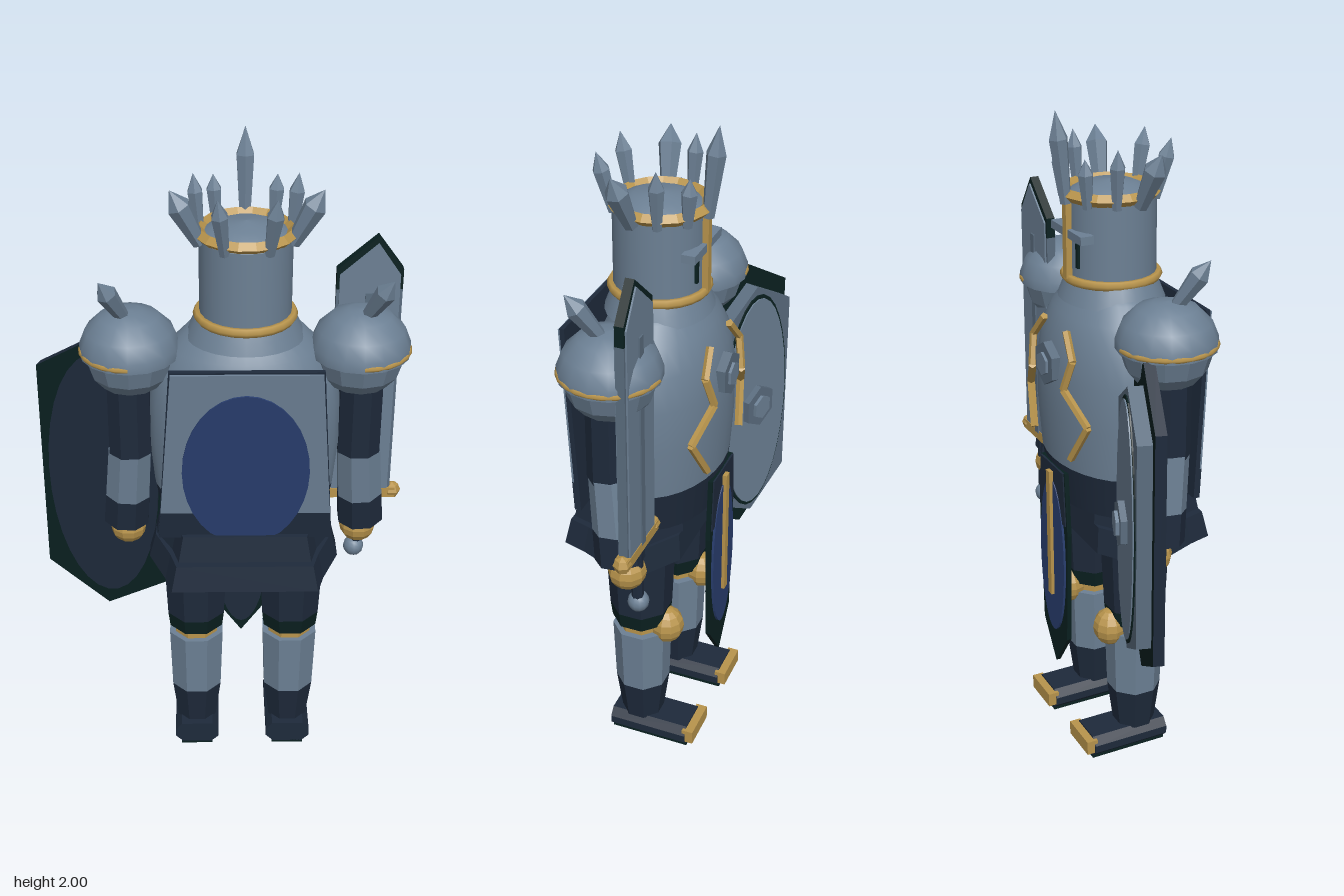
import * as THREE from 'three';

const mat = (name, color, side = THREE.FrontSide) => {
  const m = new THREE.MeshStandardMaterial({ color, side });
  m.name = name;
  return m;
};
const CX = 0.066; // the figure's own centre line

export function createModel() {
  const root = new THREE.Group();
  root.name = 'armouredKnight';
  const body = new THREE.Group();
  body.name = 'body';
  body.position.x = CX;
  root.add(body);

  const steel = mat('steel', 0x6c8094, THREE.DoubleSide);
  const midSteel = mat('midSteel', 0x5a6c7e);
  const navy = mat('navy', 0x1e2a3b, THREE.DoubleSide);
  const dark = mat('darkGreen', 0x0a2020);
  const blue = mat('blue', 0x293e6f);
  const gold = mat('gold', 0xb8944c);

  const add = (parent, name, geo, m, x = 0, y = 0, z = 0) => {
    const mesh = new THREE.Mesh(geo, m);
    mesh.name = name;
    mesh.position.set(x, y, z);
    parent.add(mesh);
    return mesh;
  };
  const faceted = (g) => {
    const f = g.index ? g.toNonIndexed() : g;
    f.computeVertexNormals();
    return f;
  };
  const box = (w, h, d) => new THREE.BoxGeometry(w, h, d);
  const lathe = (pts, n = 24) => new THREE.LatheGeometry(pts.map(([r, y]) => new THREE.Vector2(r, y)), n);
  const limb = (rTop, rBot, h, n = 8) => faceted(new THREE.CylinderGeometry(rTop, rBot, h, n).rotateY(Math.PI / n));
  const hexBoss = (r, d) => faceted(new THREE.CylinderGeometry(r, r, d, 6).rotateX(Math.PI / 2));
  // flat plate cut from an outline, centred on its thickness
  const plate = (pts, depth) => new THREE.ExtrudeGeometry(
    new THREE.Shape(pts.map(([x, y]) => new THREE.Vector2(x, y))), { depth, bevelEnabled: false }).translate(0, 0, -depth / 2);
  const ellipse = (rx, ry, depth, yMin = -9) => {
    const pts = [];
    for (let i = 0; i < 32; i++) {
      const a = i / 32 * Math.PI * 2;
      pts.push([Math.cos(a) * rx, Math.max(yMin, Math.sin(a) * ry)]);
    }
    return plate(pts, depth);
  };
  const UP = new THREE.Vector3(0, 1, 0);
  const aim = (mesh, a, b) => {
    const d = new THREE.Vector3().subVectors(b, a);
    mesh.position.copy(a);
    mesh.quaternion.setFromUnitVectors(UP, d.normalize());
  };
  const spike = (parent, name, a, b, r) => {
    const L = a.distanceTo(b);
    aim(add(parent, name, faceted(lathe([[0, 0], [r * 0.6, 0], [r, L * 0.7], [0, L]], 6)), steel), a, b);
  };
  const rod = (parent, name, a, b, r, m) => {
    const L = a.distanceTo(b);
    aim(add(parent, name, faceted(new THREE.CylinderGeometry(r, r, L, 5).translate(0, L / 2, 0)), m), a, b);
  };
  const V = (x, y, z) => new THREE.Vector3(x, y, z);

  // breastplate, darker towards the waist
  const prof = [[0.86, 0.84], [0.95, 0.97], [1, 1.12], [0.99, 1.25], [0.92, 1.35], [0.77, 1.42], [0.6, 1.47], [0.48, 1.5], [0, 1.51]];
  const torsoUpper = add(body, 'breastplate', lathe(prof.slice(1), 32), steel, 0, 0, -0.01);
  const torsoLower = add(body, 'waist', lathe(prof.slice(0, 2), 32), navy, 0, 0, -0.01);
  for (const t of [torsoUpper, torsoLower]) t.scale.set(0.28, 1, 0.195);
  const radiusAt = (y) => {
    const i = Math.max(1, prof.findIndex((p) => p[1] >= y));
    const [a, b] = [prof[i - 1], prof[i]];
    return a[0] + (b[0] - a[0]) * (y - a[1]) / (b[1] - a[1]);
  };
  const chestZ = (x, y) => {
    const r = radiusAt(y);
    return -0.018 - 0.195 * r * Math.sqrt(1 - (x / (0.28 * r)) ** 2) - Math.abs(x) * 0.1;
  };

  // chest ornaments: hexagonal boss and jagged gold inlays
  add(body, 'chestBoss', hexBoss(0.066, 0.03), midSteel, 0, 1.275, -0.203);
  add(body, 'chestBossCore', hexBoss(0.036, 0.03), steel, 0, 1.275, -0.211);
  const crack = [[0.075, 1.39], [0.135, 1.32], [0.11, 1.23], [0.2, 1.14], [0.13, 1.02]];
  for (const s of [-1, 1])
    for (let i = 0; i < 4; i++) {
      const p = [crack[i], crack[i + 1]].map(([x, y]) => V(s * x, y, chestZ(x, y)));
      rod(body, 'goldInlay', p[0], p[1], 0.012, gold);
    }

  // two tiers of hip armour with chamfered corners
  const hip = (y, h, w, z0, z1) => {
    const half = [[w - 0.07, z1], [w - 0.05, z1 - 0.07], [w, 0.03], [w, z0 + 0.08], [w - 0.12, z0]];
    const pts = [...half, ...half.map(([x, z]) => [-x, z]).reverse()];
    const g = plate(pts, h).rotateX(Math.PI / 2).translate(0, y, 0);
    const p = g.attributes.position;
    for (let i = 0; i < p.count; i++) if (p.getY(i) > y) p.setXYZ(i, p.getX(i) * 0.93, p.getY(i), p.getZ(i) * 0.93);
    return faceted(g);
  };
  add(body, 'upperHipArmour', hip(0.84, 0.08, 0.265, -0.13, 0.195), navy);
  add(body, 'hipGap', hip(0.795, 0.02, 0.25, -0.12, 0.18), dark);
  add(body, 'lowerHipArmour', hip(0.75, 0.08, 0.287, -0.13, 0.22), navy);

  // flat plate behind, leaning outwards at the top
  const cape = new THREE.Group();
  cape.name = 'rearPlate';
  cape.position.set(0, 0.87, 0.158);
  cape.rotation.x = 0.089;
  body.add(cape);
  add(cape, 'rearPlateTop', plate([[-0.246, 0.09], [0.246, 0.09], [0.21, 0.565], [-0.21, 0.565]], 0.016), steel);
  add(cape, 'rearPlateBase', plate([[-0.252, 0], [0.252, 0], [0.246, 0.09], [-0.246, 0.09]], 0.016), navy);
  add(cape, 'rearPlateRim', plate([[-0.254, 0], [0.254, 0], [0.214, 0.57], [-0.214, 0.57]], 0.014), navy, 0, 0, -0.006);
  add(cape, 'rearBlueOval', ellipse(0.182, 0.262, 0.006, -0.235), blue, 0, 0.238, 0.01);

  // hanging tabard between the legs
  const tab = new THREE.Group();
  tab.name = 'tabard';
  tab.position.z = -0.19;
  body.add(tab);
  add(tab, 'tabardCloth', plate([[-0.085, 0.95], [-0.1, 0.75], [-0.085, 0.38], [0, 0.26], [0.085, 0.38], [0.1, 0.75], [0.085, 0.95]], 0.014), dark);
  add(tab, 'tabardBacking', ellipse(0.085, 0.3, 0.006), navy, 0, 0.6, 0.008);
  add(tab, 'tabardTop', plate([[-0.08, 0.95], [-0.092, 0.78], [0.092, 0.78], [0.08, 0.95]], 0.006), navy, 0, 0, -0.008);
  add(tab, 'tabardOval', ellipse(0.085, 0.26, 0.008), blue, 0, 0.64, -0.01);
  add(tab, 'tabardSpine', box(0.024, 0.42, 0.02), gold, 0, 0.72, -0.014);

  // head
  add(body, 'collar', lathe([[0.17, 1.455], [0.155, 1.49], [0.14, 1.52]]), steel).scale.z = 0.9;
  add(body, 'neckRing', new THREE.TorusGeometry(0.134, 0.014, 6, 24).rotateX(Math.PI / 2), gold, 0, 1.52, 0);
  add(body, 'helmet', new THREE.CylinderGeometry(0.13, 0.13, 0.24, 24), steel, 0, 1.63, 0);
  add(body, 'helmetDome', lathe([[0.13, 1.75], [0.115, 1.765], [0.07, 1.785], [0, 1.795]]), steel);
  add(body, 'noseStrip', box(0.024, 0.22, 0.02), gold, 0, 1.63, -0.136);
  add(body, 'browBar', box(0.2, 0.024, 0.04), steel, 0, 1.655, -0.122);
  for (const s of [-1, 1])
    add(body, 'breathSlot', box(0.014, 0.07, 0.012), dark, s * 0.04, 1.595, -0.122);

  // crown with nine outward-leaning points
  add(body, 'crownRing', faceted(new THREE.TorusGeometry(0.128, 0.018, 4, 18).rotateX(Math.PI / 2)), gold, 0, 1.762, -0.005);
  const points = [[0, 0.16, 2, 0.028], [38, 0.145, 1.88, 0.023], [74, 0.15, 1.91, 0.023], [106, 0.215, 1.9, 0.034], [153, 0.175, 1.91, 0.025]];
  for (const [deg, tip, top, r] of points)
    for (const s of deg ? [-1, 1] : [1]) {
      const a = s * deg * Math.PI / 180;
      const at = (d, y) => V(Math.sin(a) * d, y, -Math.cos(a) * d - 0.008);
      spike(body, 'crownPoint', at(0.132, 1.74), at(tip, top), r);
    }

  for (const s of [-1, 1]) {
    // leg
    const leg = new THREE.Group();
    leg.name = s < 0 ? 'rightLeg' : 'leftLeg';
    leg.position.x = s * 0.147;
    body.add(leg);
    add(leg, 'thigh', limb(0.106, 0.094, 0.25), navy, 0, 0.625, 0.005);
    add(leg, 'thighHem', limb(0.094, 0.088, 0.05), dark, 0, 0.475, 0.005);
    add(leg, 'kneeBand', limb(0.07, 0.07, 0.04), gold, 0, 0.435, 0.005);
    add(leg, 'kneeCap', faceted(new THREE.SphereGeometry(0.052, 10, 8).scale(1, 1.15, 1)), gold, 0, 0.435, -0.08);
    add(leg, 'shinPlate', limb(0.09, 0.083, 0.21), steel, 0, 0.315, 0.002);
    add(leg, 'shinBase', limb(0.083, 0.065, 0.135), navy, 0, 0.1425, 0.002);
    const foot = plate([[-0.045, 0.006], [0.045, 0.006], [0.07, 0.03], [0.07, 0.055], [0.05, 0.08], [-0.05, 0.08], [-0.07, 0.055], [-0.07, 0.03]], 0.25);
    add(leg, 'foot', foot, navy, 0, 0, -0.04);
    add(leg, 'sole', box(0.1, 0.008, 0.25), dark, 0, 0.004, -0.04);
    add(leg, 'toeCap', box(0.13, 0.045, 0.035), gold, 0, 0.052, -0.173);

    // shoulder
    const sh = new THREE.Group();
    sh.name = s < 0 ? 'rightShoulder' : 'leftShoulder';
    sh.position.set(s * 0.327, 0, 0.008);
    body.add(sh);
    add(sh, 'shoulderDome', lathe([[0.143, 1.4], [0.143, 1.43], [0.125, 1.475], [0.085, 1.515], [0.04, 1.53], [0, 1.533]], 16), steel);
    add(sh, 'shoulderLower', faceted(lathe([[0, 1.3], [0.085, 1.305], [0.115, 1.34], [0.135, 1.405]], 12)), steel);
    const trim = add(sh, 'shoulderTrim', new THREE.TorusGeometry(0.139, 0.008, 5, 12, Math.PI).rotateX(Math.PI / 2).rotateY(Math.PI / 2), gold, 0, 1.412, 0);
    if (s < 0) trim.rotation.y = Math.PI;
    spike(sh, 'shoulderSpike', V(s * 0.01, 1.51, 0.015), V(s * 0.075, 1.655, 0.09), 0.03);

    // arm
    const arm = new THREE.Group();
    arm.name = s < 0 ? 'rightArm' : 'leftArm';
    arm.position.x = s * 0.34;
    body.add(arm);
    add(arm, 'upperArm', limb(0.066, 0.066, 0.26), navy, -s * 0.005, 1.21, 0.01);
    const fore = new THREE.Group();
    fore.name = 'forearm';
    fore.position.set(s * 0.006, 0.96, -0.008);
    fore.rotation.set(0.1, 0, s * 0.07);
    arm.add(fore);
    add(fore, 'forearmPlate', limb(0.067, 0.07, 0.17), steel, 0, 0.045, 0);
    add(fore, 'forearmCuff', limb(0.07, 0.072, 0.1), navy, 0, -0.09, 0);
    add(arm, 'hand', faceted(new THREE.SphereGeometry(0.056, 10, 8)), gold, s * 0.012, 0.78, -0.042);
  }

  // sword held upright, with a dark-edged tip
  const sword = new THREE.Group();
  sword.name = 'sword';
  sword.position.set(0.418, 0, -0.073);
  root.add(sword);
  const blade = (w, y0, y1, y2, d) => plate([[-w, y0], [w, y0], [w, y1], [0.02, y2], [-w, y1]], d);
  add(sword, 'bladeEdge', box(0.188, 0.67, 0.026), midSteel, 0, 1.225, 0);
  add(sword, 'bladeTip', blade(0.094, 1.56, 1.62, 1.72, 0.026), dark);
  add(sword, 'bladeFaces', blade(0.086, 0.89, 1.605, 1.7, 0.036), steel);
  add(sword, 'bladeRidge', box(0.024, 0.66, 0.044), midSteel, 0, 1.22, 0);
  add(sword, 'guard', box(0.22, 0.032, 0.04), gold, 0, 0.882, 0);
  for (const s of [-1, 1]) add(sword, 'guardEnd', faceted(new THREE.SphereGeometry(0.027, 6, 4)), gold, s * 0.103, 0.882, 0);
  add(sword, 'grip', limb(0.018, 0.018, 0.19), navy, 0, 0.785, 0);
  add(sword, 'pommel', new THREE.SphereGeometry(0.032, 12, 8), steel, -0.005, 0.675, 0);

  // long six-sided shield, turned towards the centre line
  const shield = new THREE.Group();
  shield.name = 'shield';
  shield.position.set(-0.355, 0.93, -0.095);
  shield.rotation.y = -0.32;
  root.add(shield);
  const hexa = (w, h, t, d) => plate([[0, -t], [w, -h], [w, h], [0, t], [-w, h], [-w, -h]], d);
  add(shield, 'shieldBack', hexa(0.2, 0.35, 0.475, 0.032), [dark, navy]);
  add(shield, 'shieldBackOval', ellipse(0.178, 0.42, 0.006), navy, 0, 0, 0.018);
  add(shield, 'shieldPanel', hexa(0.168, 0.31, 0.41, 0.05), midSteel, 0, 0, -0.034);
  add(shield, 'shieldOvalRim', ellipse(0.158, 0.382, 0.006), dark, 0, 0, -0.06);
  add(shield, 'shieldFaceOval', ellipse(0.15, 0.37, 0.008), steel, 0, 0, -0.063);
  add(shield, 'shieldBoss', hexBoss(0.07, 0.022), midSteel, 0, 0, -0.075);
  add(shield, 'shieldBossCore', hexBoss(0.04, 0.02), steel, 0, 0, -0.086);

  return root;
}
